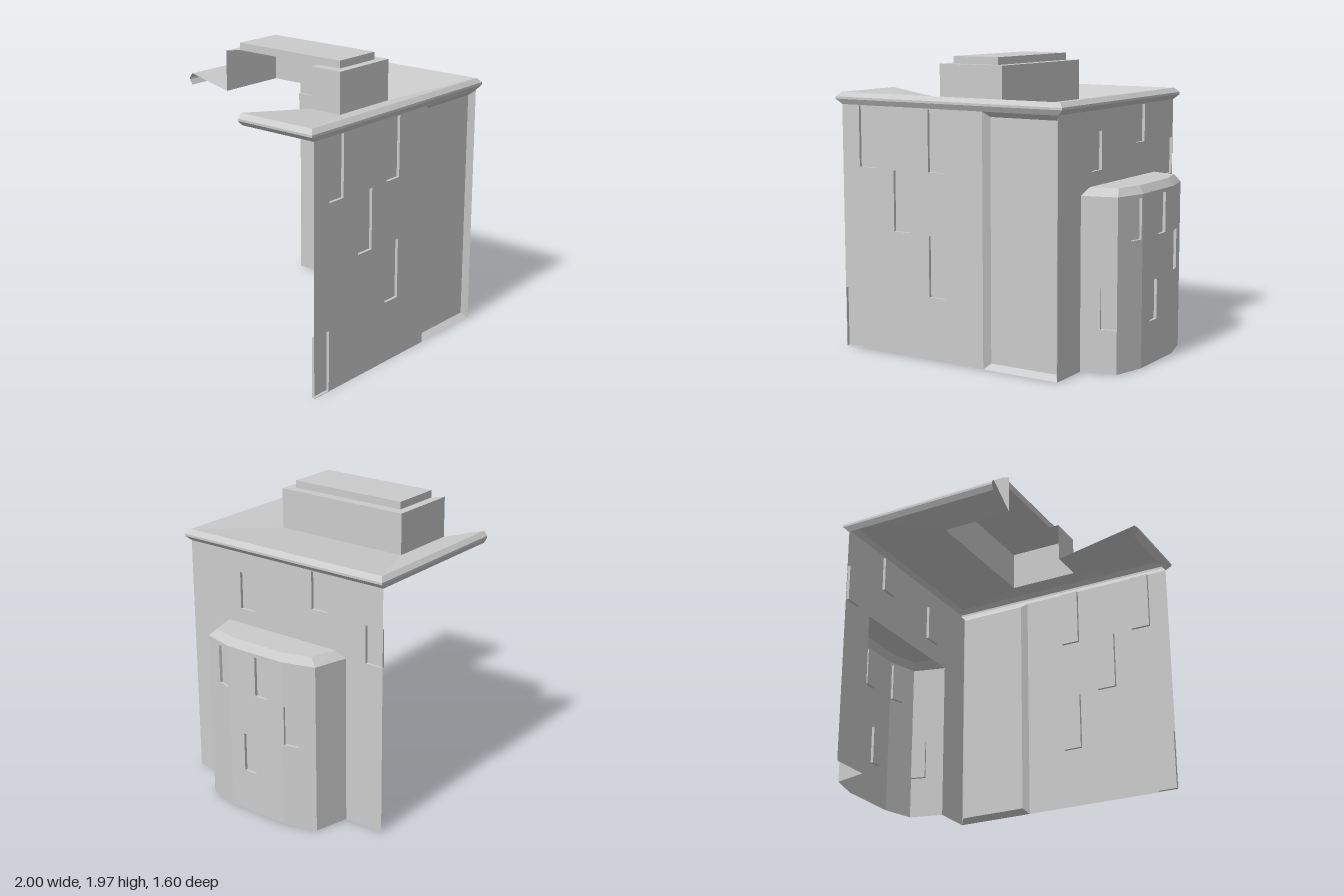
import * as THREE from 'three';

const mat = new THREE.MeshStandardMaterial({ color: 0xcccccc, flatShading: true, side: THREE.DoubleSide });

function add(parent, name, geometry) {
  const mesh = new THREE.Mesh(geometry, mat);
  mesh.name = name;
  parent.add(mesh);
  return mesh;
}

// Quads between successive cross-sections (lists of [x, y, z])
function loft(rings, closed = false) {
  const pos = [];
  for (let r = 0; r + 1 < rings.length; r++) {
    const a = rings[r], b = rings[r + 1], n = a.length;
    for (let i = 0; i < (closed ? n : n - 1); i++) {
      const j = (i + 1) % n;
      pos.push(...a[i], ...a[j], ...b[j], ...a[i], ...b[j], ...b[i]);
    }
  }
  const g = new THREE.BufferGeometry();
  g.setAttribute('position', new THREE.Float32BufferAttribute(pos, 3));
  g.computeVertexNormals();
  return g;
}

const rect = (x0, x1, y0, y1, z) => [[x0, y0, z], [x1, y0, z], [x1, y1, z], [x0, y1, z]];
const flat = (points) => new THREE.ShapeGeometry(new THREE.Shape(points.map(([x, y]) => new THREE.Vector2(x, y))));

// Wall running from (x, z) point p to q, with recessed windows [u0, u1, y0, y1]
function wall(parent, name, p, q, outline, windows) {
  const group = new THREE.Group();
  group.name = name;
  group.position.set(p[0], 0, p[1]);
  group.rotation.y = Math.atan2(p[1] - q[1], q[0] - p[0]);
  const shape = new THREE.Shape(outline.map(([x, y]) => new THREE.Vector2(x, y)));
  const depth = 0.02;
  for (const [a, b, c, d] of windows) {
    const front = rect(a, b, c, d, 0), back = rect(a, b, c, d, -depth);
    shape.holes.push(new THREE.Path(front.map(([x, y]) => new THREE.Vector2(x, y)).reverse()));
    add(group, 'windowReveal', loft([front, back], true));
    add(group, 'windowPane', flat(back)).position.z = -depth;
  }
  add(group, name + 'Surface', new THREE.ShapeGeometry(shape));
  parent.add(group);
}

const box = (w, h) => [[0, 0], [w, 0], [w, h], [0, h]];

export function createModel() {
  const model = new THREE.Group();
  model.name = 'building';

  // Front wall
  wall(model, 'frontWall', [-0.96, 0.78], [0.16, 0.78], box(1.12, 1.65), [
    [0.14, 0.275, 1.24, 1.645], [0.42, 0.555, 0.83, 1.235], [0.7, 0.83, 1.24, 1.645],
    [0.7, 0.83, 0.42, 0.825], [0.004, 0.139, 0.004, 0.41],
  ]);

  // Recessed front panel with splayed border
  const inner = rect(0.195, 0.68, 0.035, 1.615, 0.74);
  add(model, 'panelBorder', loft([rect(0.16, 0.71, 0, 1.65, 0.78), inner], true));
  add(model, 'recessedPanel', flat(inner)).position.z = 0.74;

  // Side wall, open where the bay joins
  wall(model, 'sideWall', [0.71, 0.78], [0.71, -0.78],
    [[0, 0], [0.28, 0], [0.28, 1.13], [1.28, 1.13], [1.28, 0], [1.56, 0], [1.56, 1.65], [0, 1.65]],
    [[0.42, 0.545, 1.265, 1.515], [1.01, 1.135, 1.395, 1.645], [1.43, 1.555, 1.135, 1.385]]);

  // Bay walls
  const bay = [[0.71, 0.5], [0.94, 0.44], [1, 0.22], [1, -0.22], [0.94, -0.44], [0.71, -0.5]];
  const bayWindows = [
    [[0.13, 0.232, 0.285, 0.55]],
    [[0.119, 0.218, 0.84, 1.105]],
    [[0.22, 0.32, 0.84, 1.105], [0.115, 0.21, 0.285, 0.55]],
    [[0.01, 0.109, 0.565, 0.83]],
    [],
  ];
  bayWindows.forEach((windows, i) => {
    const p = bay[i], q = bay[i + 1];
    wall(model, 'bayWall', p, q, box(Math.hypot(q[0] - p[0], q[1] - p[1]), 1.13), windows);
  });

  // Bay roof with bevelled edge
  const cap = [[0.74, 0.44], [0.915, 0.39], [0.965, 0.2], [0.965, -0.2], [0.915, -0.39], [0.74, -0.44]];
  const at = (points, y) => points.map(([x, z]) => [x, y, z]);
  add(model, 'bayRoofEdge', loft([at(bay, 1.13), at(cap, 1.18)], true));
  const capTop = add(model, 'bayRoof', flat(cap.map(([x, z]) => [x, -z])));
  capTop.rotation.x = -Math.PI / 2;
  capTop.position.y = 1.18;

  // Projecting eaves around the open-sided roof
  const eave = (x0, x1, z, y) => [[x0, y, 0.21], [x0, y, z], [x1, y, z], [x1, y, -z], [-0.41, y, -z]];
  add(model, 'eaves', loft([
    eave(-0.96, 0.71, 0.78, 1.65), eave(-1, 0.75, 0.8, 1.685),
    eave(-1, 0.75, 0.8, 1.7), eave(-0.97, 0.72, 0.775, 1.73),
  ]));

  // Roof sloping inward to the rooftop block
  const outer = [[-0.97, 0.21], [-0.97, 0.49], [-0.97, 0.775], [-0.37, 0.775], [0.15, 0.775], [0.72, 0.775],
    [0.72, 0.49], [0.72, -0.49], [0.72, -0.775], [0.15, -0.775], [-0.41, -0.775]];
  const foot = [[-0.37, 0.25], [-0.37, 0.49], [-0.37, 0.49], [-0.37, 0.49], [0.12, 0.49], [0.12, 0.49],
    [0.12, 0.49], [0.12, -0.49], [0.12, -0.49], [0.12, -0.49], [-0.37, -0.49]];
  add(model, 'roof', loft([at(outer, 1.73), at(foot, 1.645)]));

  // Rooftop block, partly open on one side, with a ledge and raised top
  const block = [[-0.37, 0.25], [-0.37, 0.49], [0.12, 0.49], [0.12, -0.49], [-0.37, -0.49]];
  const ledge = [[-0.3, 0.25], [-0.3, 0.43], [0.05, 0.43], [0.05, -0.43], [-0.3, -0.43]];
  add(model, 'rooftopBlock', loft([at(block, 1.645), at(block, 1.92), at(ledge, 1.92)]));
  add(model, 'rooftopCap', new THREE.BoxGeometry(0.35, 0.05, 0.86)).position.set(-0.125, 1.945, 0);

  return model;
}
